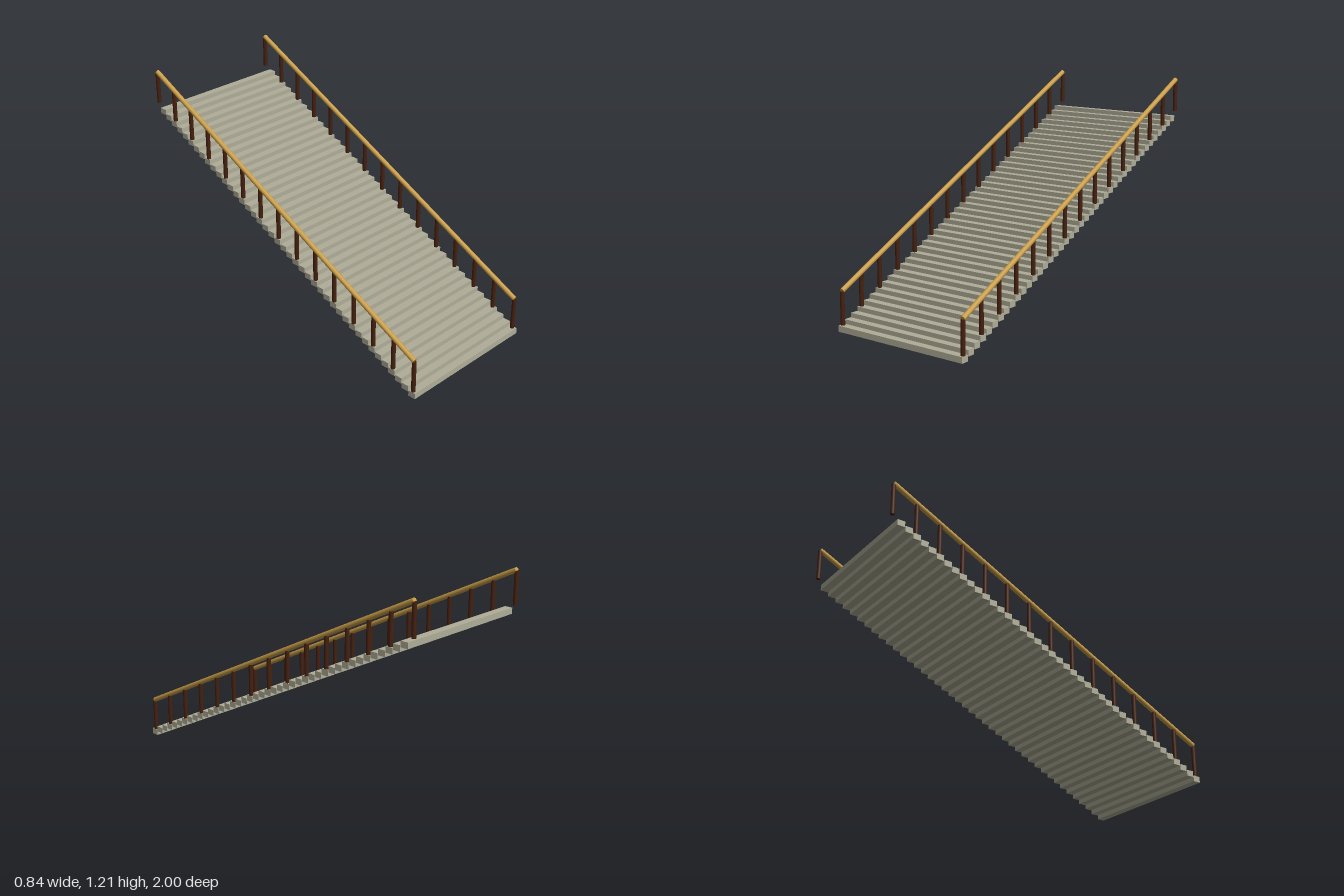
import * as THREE from 'three';

const STEPS = 42, RISE = 0.02346, RUN = 0.0468;
const FRONT_Z = 0.978, STEP_H = 0.033, STEP_D = 0.044, WIDTH = 0.836;
const SIDE_X = 0.406, POST_R = 0.0118, RAIL_R = 0.0138, RAIL_Y = 0.217;

export function createModel() {
  const stone = new THREE.MeshStandardMaterial({ color: 0xb0ae98 });
  stone.name = 'stone';
  const darkWood = new THREE.MeshStandardMaterial({ color: 0x45200e });
  darkWood.name = 'dark wood';
  const goldenWood = new THREE.MeshStandardMaterial({ color: 0xc89c46 });
  goldenWood.name = 'golden wood';

  const model = new THREE.Group();
  model.name = 'staircase';
  const add = (parent, name, geometry, material, x, y, z) => {
    const mesh = new THREE.Mesh(geometry, material);
    mesh.name = name;
    mesh.position.set(x, y, z);
    parent.add(mesh);
    return mesh;
  };

  // Floating slab treads
  const steps = new THREE.Group();
  steps.name = 'steps';
  model.add(steps);
  const stepGeometry = new THREE.BoxGeometry(WIDTH, STEP_H, STEP_D);
  for (let i = 0; i < STEPS; i++) {
    add(steps, 'step', stepGeometry, stone, 0, STEP_H / 2 + i * RISE, FRONT_Z - i * RUN);
  }

  // Railing on each side: a post on every third step, one past the top tread
  const postHeight = RAIL_Y - STEP_H - 0.004;
  const postGeometry = new THREE.CylinderGeometry(POST_R, POST_R, postHeight, 16);
  const rise = STEPS * RISE, run = STEPS * RUN;
  const railGeometry = new THREE.CylinderGeometry(RAIL_R, RAIL_R, Math.hypot(rise, run), 20);
  for (const side of [1, -1]) {
    const railing = new THREE.Group();
    railing.name = side > 0 ? 'leftRailing' : 'rightRailing';
    model.add(railing);
    for (let i = 0; i <= STEPS; i += 3) {
      add(railing, 'post', postGeometry, darkWood,
        side * SIDE_X, STEP_H + postHeight / 2 + i * RISE, FRONT_Z - i * RUN);
    }
    const rail = add(railing, 'handrail', railGeometry, goldenWood,
      side * SIDE_X, RAIL_Y + rise / 2, FRONT_Z - run / 2);
    rail.rotation.x = -Math.atan2(run, rise);
  }
  return model;
}
